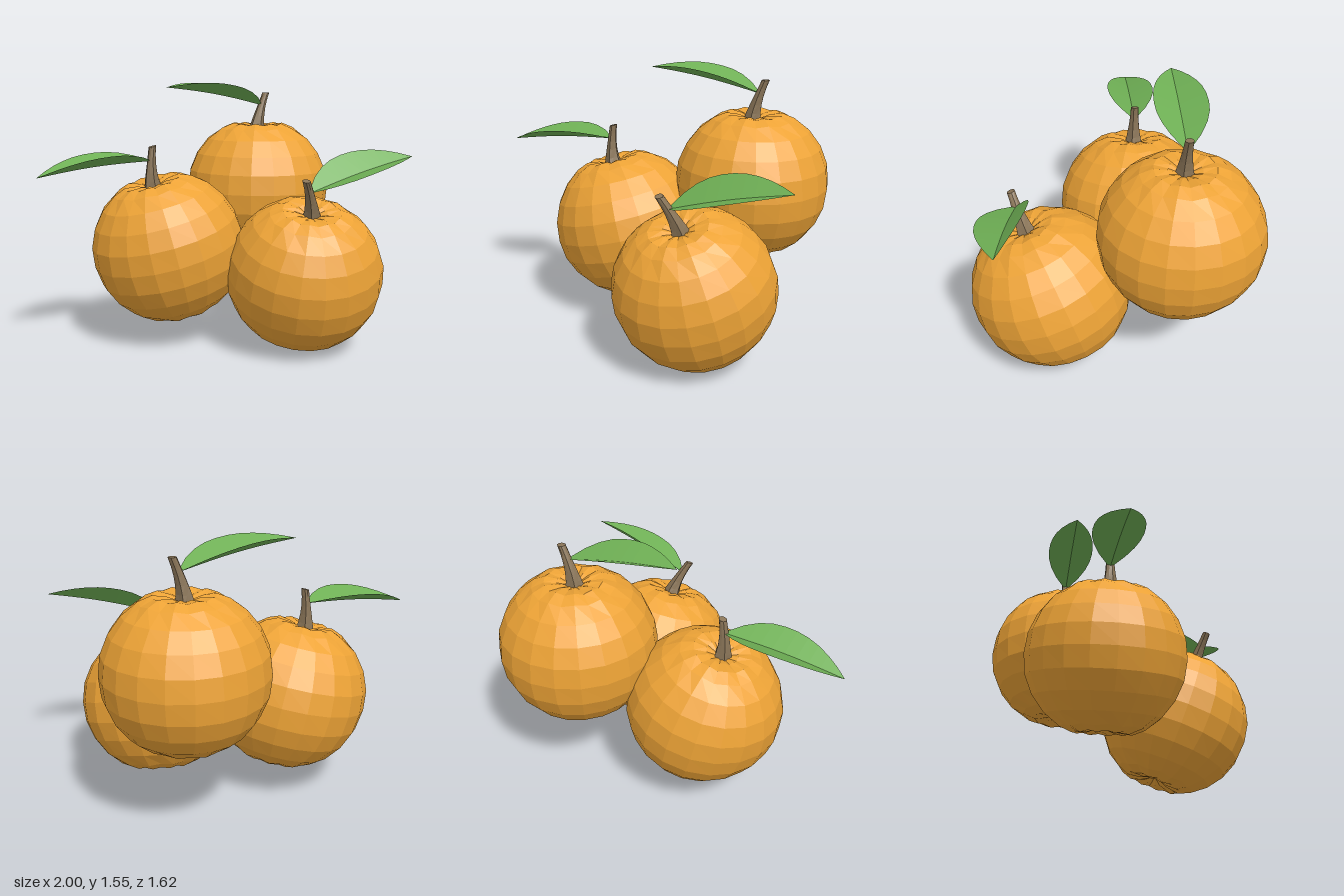
import * as THREE from 'three';

const mat = (color, side = THREE.FrontSide) =>
  new THREE.MeshStandardMaterial({ color, side, flatShading: true });
const peelMat = mat(0xeda336);
const stemMat = mat(0x8a7558);
const leafMat = mat(0x6fb055, THREE.DoubleSide);

// Apply a rule to every vertex
function moveVertices(geo, rule) {
  const p = geo.attributes.position;
  const v = new THREE.Vector3();
  for (let i = 0; i < p.count; i++) {
    rule(v.fromBufferAttribute(p, i));
    p.setXYZ(i, v.x, v.y, v.z);
  }
  geo.computeVertexNormals();
  return geo;
}

// Round fruit with a dimple at both poles and faint puckers around them
function peelGeometry() {
  const upper = [[0.457, 0], [0.443, 0.118], [0.397, 0.226], [0.325, 0.32],
    [0.236, 0.385], [0.165, 0.414], [0.09, 0.405], [0, 0.375]];
  const lower = upper.slice(1).reverse().map(([r, y]) => [r, -y]);
  const profile = [...lower, ...upper].map(([r, y]) => new THREE.Vector2(r, y));
  return moveVertices(new THREE.LatheGeometry(profile, 20), (v) => {
    const r = Math.hypot(v.x, v.z);
    const a = Math.atan2(v.x, v.z);
    if (r > 0.05 && r < 0.3) v.y += 0.005 * Math.cos(10 * a) * Math.sign(v.y);
    v.multiplyScalar(1 + 0.005 * Math.sin(3 * a + 7 * v.y) * Math.min(1, r / 0.4));
  });
}

// Ribbed stem, flared at the foot and bending sideways
function stemGeometry() {
  const bottom = 0.37, height = 0.245;
  const geo = new THREE.CylinderGeometry(1, 1, height, 10, 5);
  geo.translate(0, bottom + height / 2, 0);
  return moveVertices(geo, (v) => {
    const t = THREE.MathUtils.clamp((v.y - bottom) / height, 0, 1);
    const a = Math.atan2(v.x, v.z);
    const r = 0.023 + 0.027 * (1 - t) ** 1.8;
    const rib = 1 + 0.14 * (1 - t) * Math.cos(5 * a);
    v.x = v.x * r * rib - 0.008 + 0.068 * t ** 1.5;
    v.z *= r * rib;
  });
}

// Leaf folded upwards along an arched midrib
function leafGeometry() {
  const halfWidths = [0.01, 0.075, 0.115, 0.136, 0.142, 0.139, 0.128, 0.108, 0.08, 0.044, 0];
  const n = halfWidths.length - 1;
  const positions = [], index = [];
  halfWidths.forEach((w, i) => {
    const u = i / n;
    const x = 0.025 - 0.68 * u;
    const y = 0.535 + 0.115 * u + 0.015 * Math.sin(Math.PI * u);
    const lift = 0.46 * w;
    positions.push(x, y + lift, -w, x, y, 0, x, y + lift, w);
    if (i === n) return;
    for (let s = 0; s < 2; s++) {
      const a = i * 3 + s;
      index.push(a, a + 3, a + 1, a + 1, a + 3, a + 4);
    }
  });
  const geo = new THREE.BufferGeometry();
  geo.setAttribute('position', new THREE.Float32BufferAttribute(positions, 3));
  geo.setIndex(index);
  geo.computeVertexNormals();
  return geo;
}

export function createModel() {
  const model = new THREE.Group();
  model.name = 'fruitPile';
  const parts = [
    ['peel', peelGeometry(), peelMat],
    ['stem', stemGeometry(), stemMat],
    ['leaf', leafGeometry(), leafMat],
  ];
  // Name, centre, rotation (YXZ order)
  const fruits = [
    ['backFruit', [0.525, 0.86, -0.355], [0, 0, 0]],
    ['sideFruit', [-0.205, 0.56, -0.175], [0, 0, 0.262]],
    ['frontFruit', [0.42, 0.437, 0.355], [-0.334, 3.13, -0.114]],
  ];
  for (const [name, centre, rotation] of fruits) {
    const fruit = new THREE.Group();
    fruit.name = name;
    for (const [part, geo, material] of parts) {
      const mesh = new THREE.Mesh(geo, material);
      mesh.name = part;
      fruit.add(mesh);
    }
    fruit.position.set(...centre);
    fruit.rotation.set(...rotation, 'YXZ');
    model.add(fruit);
  }
  return model;
}
